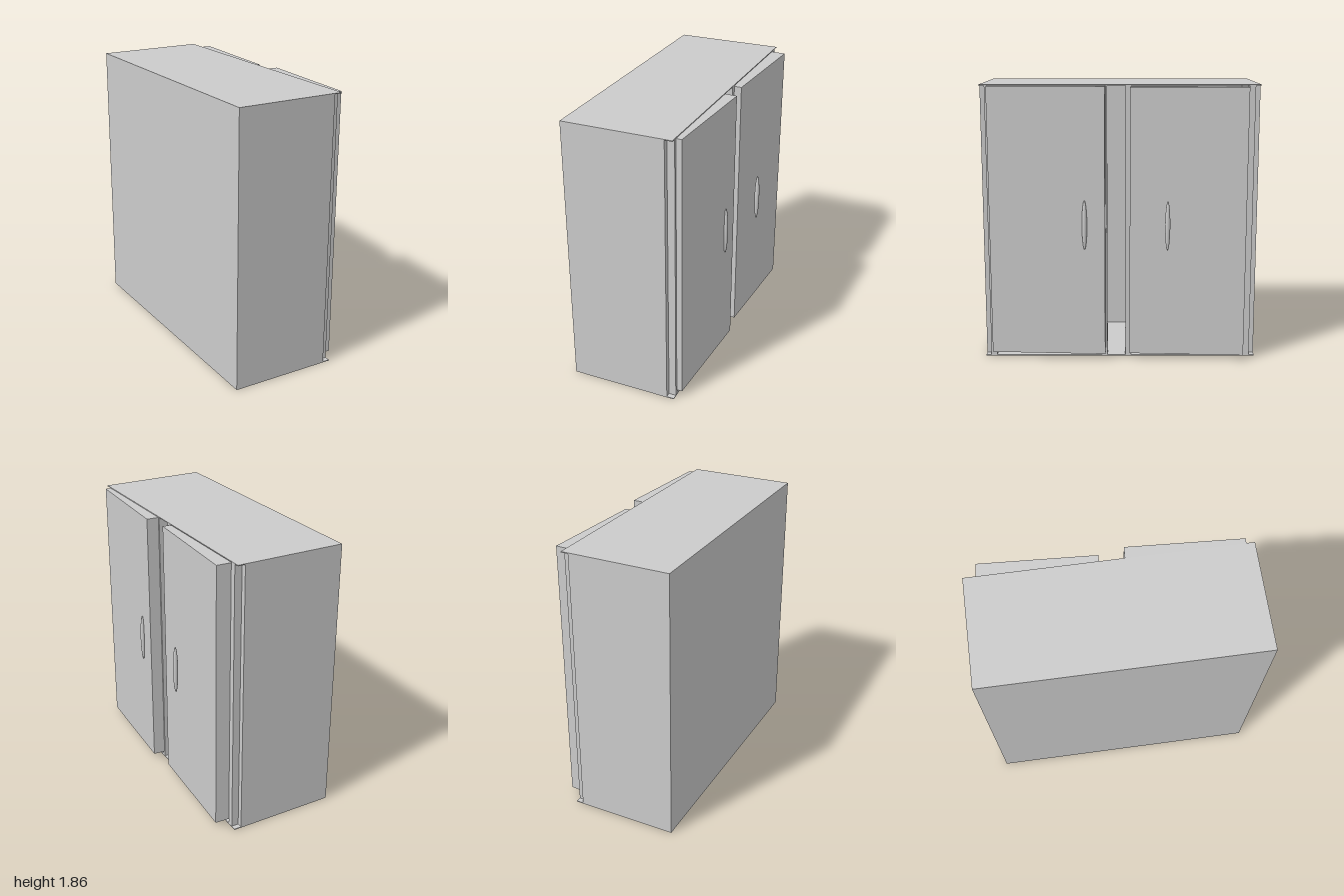
import * as THREE from 'three';

const material = new THREE.MeshStandardMaterial({ color: 0xcccccc, flatShading: true });
const smooth = new THREE.MeshStandardMaterial({ color: 0xcccccc });

// Box given by its lower and upper limits on each axis
function box(parent, name, [x0, x1], [y0, y1], [z0, z1]) {
  const mesh = new THREE.Mesh(new THREE.BoxGeometry(x1 - x0, y1 - y0, z1 - z0), material);
  mesh.position.set((x0 + x1) / 2, (y0 + y1) / 2, (z0 + z1) / 2);
  mesh.name = name;
  parent.add(mesh);
}

export function createModel() {
  const model = new THREE.Group();
  model.name = 'cabinet';

  const W = 0.925, D = 0.3675, H = 1.86, T = 0.006;

  // Carcass, open at the front and turned about the vertical
  const carcass = new THREE.Group();
  carcass.name = 'carcass';
  carcass.position.set(-0.025, 0, -0.003);
  carcass.rotation.y = THREE.MathUtils.degToRad(67.5);
  model.add(carcass);

  box(carcass, 'bottomPanel', [-W, W], [0, T], [-D, D]);
  box(carcass, 'topPanel', [-W, W], [H - T, H], [-D, D]);
  box(carcass, 'backPanel', [-W, W], [T, H - T], [-D, -D + 0.02]);

  // Side panels stop short of the front
  box(carcass, 'sidePanel', [-W, -W + 0.036], [T, H - T], [-D + 0.02, D - 0.05]);
  box(carcass, 'sidePanel', [W - 0.036, W], [T, H - T], [-D + 0.02, D - 0.05]);

  // Upright posts at both corners and on either side of the centre gap
  for (const x of [-W + 0.036, -0.126, 0.036, W - 0.076]) {
    box(carcass, 'post', [x, x + 0.04], [T, H - T], [D - 0.085, D - 0.001]);
  }

  // Doors, slightly ajar: origin at the middle of the front face
  const doors = [
    { name: 'leftDoor', x: 0.1825, z: 0.61, y: [0.04, 1.853], handle: [0.295, 0.385] },
    { name: 'rightDoor', x: 0.5525, z: -0.2525, y: [0.035, 1.848], handle: [0.53, -0.115] },
  ];
  const handleGeometry = new THREE.SphereGeometry(1, 24, 16);
  for (const d of doors) {
    const door = new THREE.Group();
    door.name = d.name;
    door.position.set(d.x, 0, d.z);
    door.rotation.y = THREE.MathUtils.degToRad(64.3);
    box(door, 'doorPanel', [-0.387, 0.387], d.y, [-0.1, 0]);
    model.add(door);

    // Long oval pull
    const handle = new THREE.Mesh(handleGeometry, smooth);
    handle.name = d.name + 'Handle';
    handle.scale.set(0.017, 0.167, 0.017);
    handle.position.set(d.handle[0], 0.937, d.handle[1]);
    model.add(handle);
  }
  return model;
}
